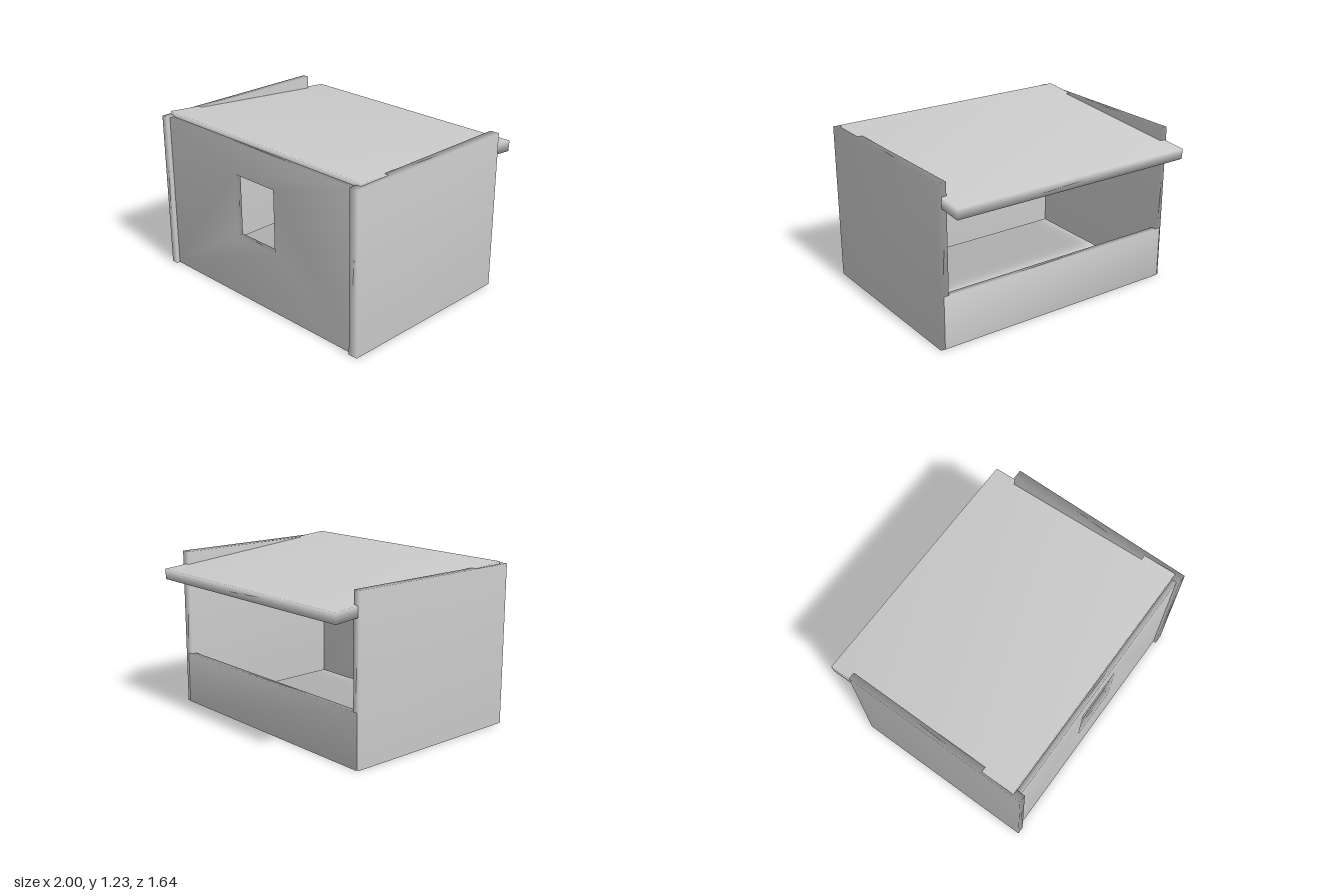
import * as THREE from 'three';
import { mergeVertices } from 'three/addons/utils/BufferGeometryUtils.js';

const material = new THREE.MeshStandardMaterial({ color: 0xcccccc });

// Share corner vertices so the normals run softly across the edges
function soften(geometry) {
  geometry.deleteAttribute('normal');
  geometry.deleteAttribute('uv');
  const soft = mergeVertices(geometry, 1e-4);
  soft.computeVertexNormals();
  return soft;
}

function addPart(group, name, geometry) {
  const mesh = new THREE.Mesh(soften(geometry), material);
  mesh.name = name;
  group.add(mesh);
  return mesh;
}

// Board given by its limits on each axis
function addBoard(group, name, [x0, x1], [y0, y1], [z0, z1]) {
  const mesh = addPart(group, name, new THREE.BoxGeometry(x1 - x0, y1 - y0, z1 - z0));
  mesh.position.set((x0 + x1) / 2, (y0 + y1) / 2, (z0 + z1) / 2);
  return mesh;
}

// Closed outline of a rectangle
function rectangle(Type, x0, x1, y0, y1) {
  return new Type([[x0, y0], [x1, y0], [x1, y1], [x0, y1]].map(([x, y]) => new THREE.Vector2(x, y)));
}

export function createModel() {
  const group = new THREE.Group();
  group.name = 'shelter';
  const width = [-0.985, 0.965];

  // Side walls
  addBoard(group, 'leftWall', [0.927, 1], [0, 1.21], [-0.63, 0.812]);
  addBoard(group, 'rightWall', [-1, -0.946], [0, 1.21], [-0.627, 0.817]);

  // Front wall with window opening
  const front = rectangle(THREE.Shape, ...width, 0, 1.2);
  front.holes.push(rectangle(THREE.Path, -0.208, 0.187, 0.483, 0.96));
  const frontWall = addPart(group, 'frontWall',
    new THREE.ExtrudeGeometry(front, { depth: 0.045, bevelEnabled: false }));
  frontWall.position.z = 0.745;

  // Low back board
  addBoard(group, 'backBoard', width, [0, 0.398], [-0.634, -0.588]);

  // Sloping roof, dropping to the back
  const roof = addPart(group, 'roof', new THREE.BoxGeometry(width[1] - width[0], 0.08, 1.576));
  roof.position.set((width[0] + width[1]) / 2, 1.124, -0.0315);
  roof.rotation.x = -0.087;

  return group;
}
